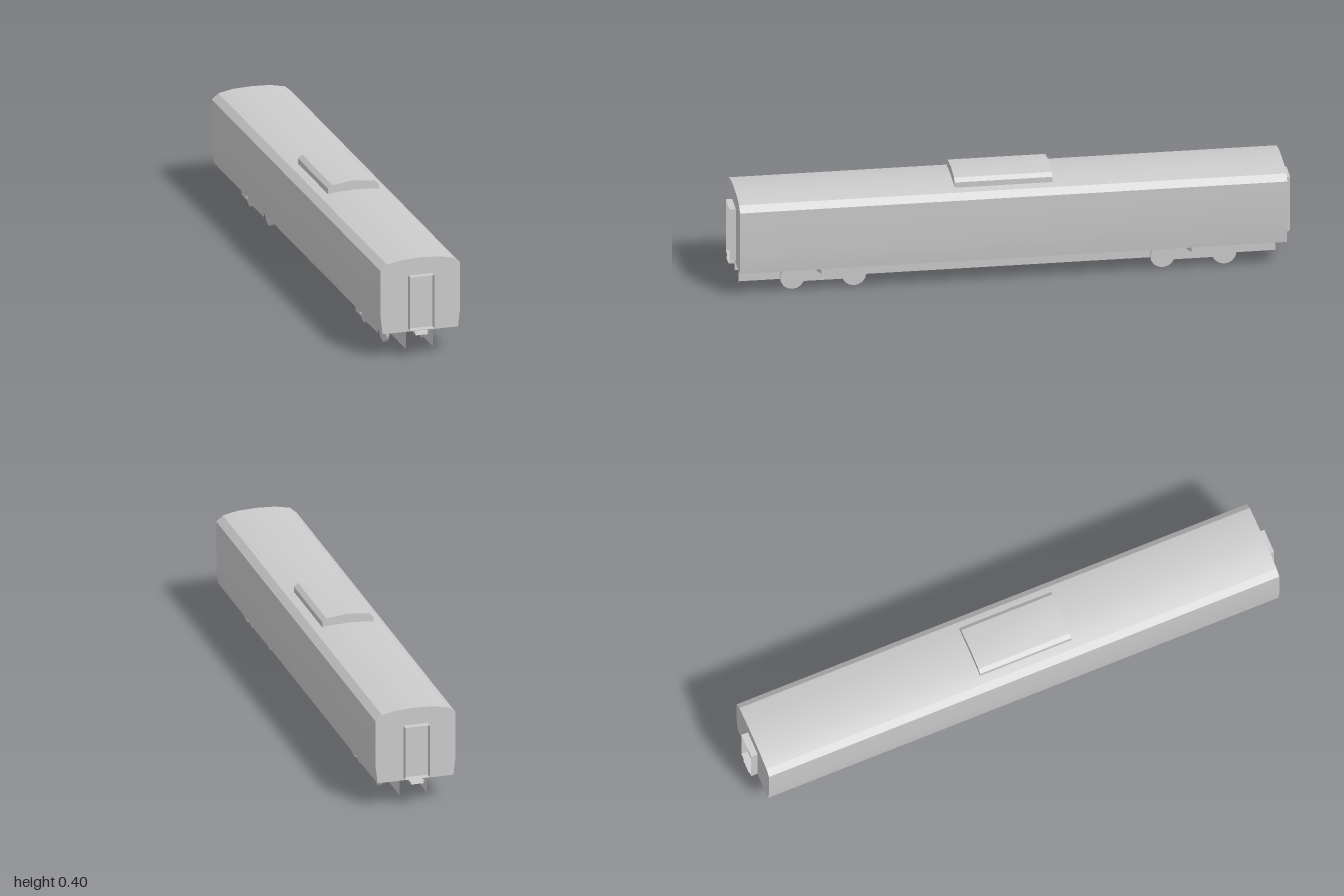
import * as THREE from 'three';
import { toCreasedNormals } from 'three/addons/utils/BufferGeometryUtils.js';

const solid = new THREE.MeshStandardMaterial({ color: 0xcccccc });
const thin = new THREE.MeshStandardMaterial({ color: 0xcccccc, side: THREE.DoubleSide });

export function createModel() {
  const model = new THREE.Group();

  function add(parent, name, geometry, material, x = 0, y = 0, z = 0) {
    const mesh = new THREE.Mesh(geometry, material);
    mesh.name = name;
    mesh.position.set(x, y, z);
    parent.add(mesh);
    return mesh;
  }

  // Extrudes a half profile (right side, bottom to centre top), mirrored, from z0 to z1
  function mirroredExtrusion(half, z0, z1) {
    const left = half.filter(([x]) => x > 0).reverse().map(([x, y]) => [-x, y]);
    const shape = new THREE.Shape([...half, ...left].map(([x, y]) => new THREE.Vector2(x, y)));
    const geometry = new THREE.ExtrudeGeometry(shape, { depth: z1 - z0, bevelEnabled: false });
    geometry.translate(0, 0, z0);
    return toCreasedNormals(geometry, 0.45);
  }

  // Thin upright sheet facing sideways
  function sideSheet(length, height) {
    return new THREE.PlaneGeometry(length, height).rotateY(Math.PI / 2);
  }

  // Rectangular sleeve of thin walls, open at both ends
  function sleeve(name, width, y0, y1, z0, z1) {
    const group = new THREE.Group();
    group.name = name;
    const depth = z1 - z0, yc = (y0 + y1) / 2, zc = (z0 + z1) / 2;
    for (const s of [-1, 1]) {
      add(group, 'sleeveSide', sideSheet(depth, y1 - y0), thin, s * width / 2, yc, zc);
    }
    for (const y of [y0, y1]) {
      add(group, 'sleevePlate', new THREE.PlaneGeometry(width, depth).rotateX(-Math.PI / 2), thin, 0, y, zc);
    }
    model.add(group);
  }

  // Carriage body with arched roof
  add(model, 'carriageBody', mirroredExtrusion([
    [0.14, 0.097], [0.148, 0.17], [0.148, 0.334], [0.124, 0.355], [0.07, 0.366], [0, 0.369],
  ], -0.975, 0.977), solid);

  // Raised roof unit
  add(model, 'roofUnit', mirroredExtrusion([
    [0.094, 0.355], [0.094, 0.381], [0.079, 0.394], [0, 0.404],
  ], -0.145, 0.204), solid);

  // Gangway frames and coupler sleeves at both ends
  sleeve('frontGangway', 0.09, 0.108, 0.306, 0.977, 1);
  sleeve('backGangway', 0.09, 0.108, 0.306, -1, -0.975);
  sleeve('frontCoupler', 0.05, 0.088, 0.097, 0.955, 1);
  sleeve('backCoupler', 0.05, 0.088, 0.097, -1, -0.95);

  // Long underframe beams
  for (const s of [-1, 1]) {
    add(model, 'underframeBeam', sideSheet(1.915, 0.069), thin, s * 0.05, 0.0635, 0.01);
  }

  // Two bogies, each with side frames, spring mounts and four wheels
  const wheel = toCreasedNormals(
    new THREE.CylinderGeometry(0.0435, 0.0435, 0.012, 16).rotateZ(Math.PI / 2), 0.6);
  const mount = new THREE.CylinderGeometry(0.0346, 0.0346, 0.022, 6, 1, true).scale(1, 1, 0.8);
  for (const [name, zc] of [['frontBogie', 0.67], ['backBogie', -0.65]]) {
    const bogie = new THREE.Group();
    bogie.name = name;
    bogie.position.z = zc;
    for (const s of [-1, 1]) {
      add(bogie, 'sideFrame', sideSheet(0.26, 0.048), thin, s * 0.1, 0.062, 0);
      add(bogie, 'springMount', toCreasedNormals(mount, 0.3), thin, s * 0.1, 0.086, 0);
      for (const z of [-0.11, 0.11]) add(bogie, 'wheel', wheel, solid, s * 0.071, 0.0435, z);
    }
    model.add(bogie);
  }

  return model;
}
